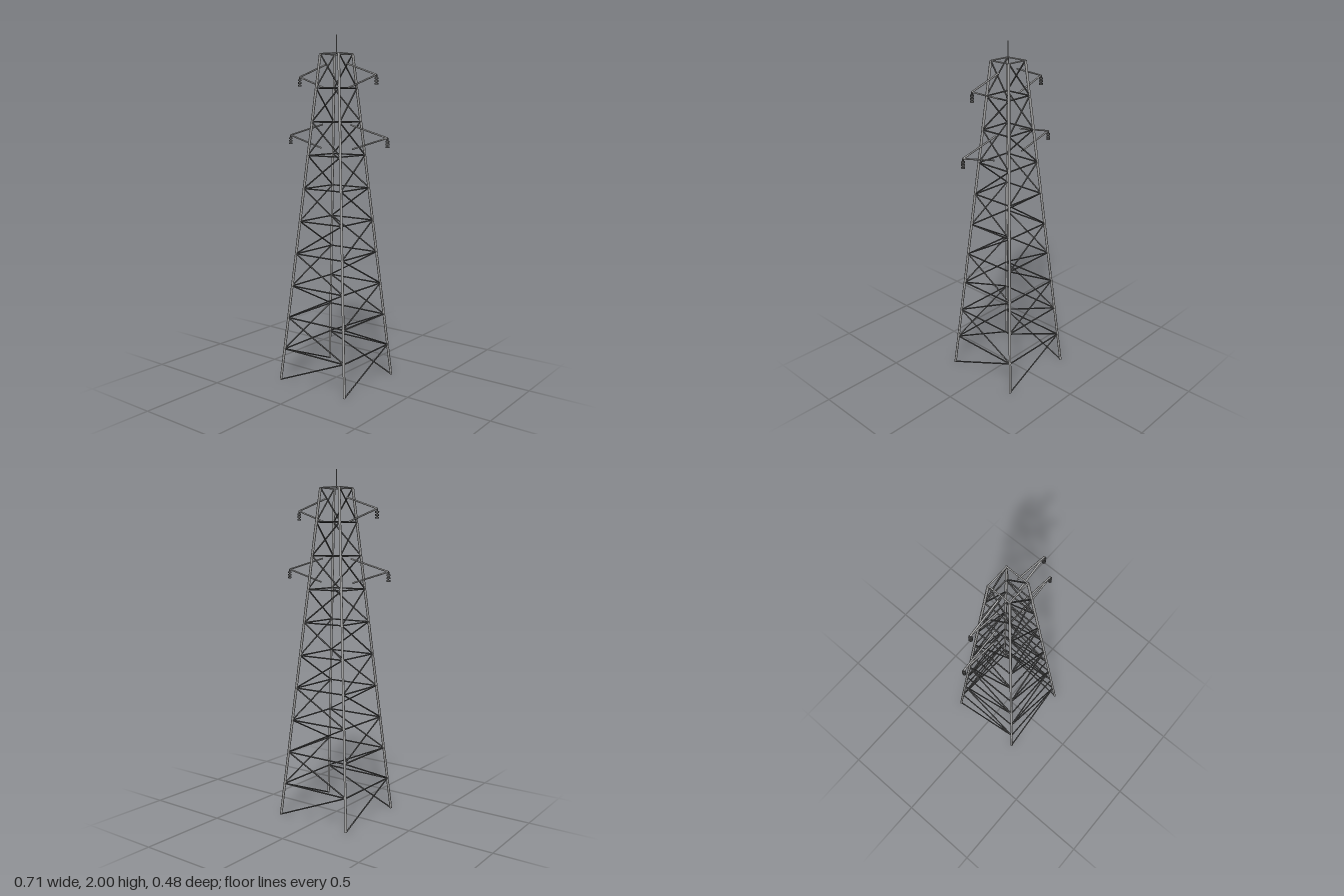
import * as THREE from 'three';

const H = 1.896, PANELS = 10;
const halfWidth = (y) => 0.235 - (0.17 * y) / H;

export function createModel() {
  const tower = new THREE.Group();
  tower.name = 'pylon';
  const steel = new THREE.MeshStandardMaterial({ color: 0xa0a0a0 });
  const darkSteel = new THREE.MeshStandardMaterial({ color: 0x5a5a5a });

  // Straight bar between two points
  function bar(parent, name, a, b, r, mat) {
    const dir = b.clone().sub(a);
    const mesh = new THREE.Mesh(new THREE.CylinderGeometry(r, r, dir.length(), 6), mat);
    mesh.position.copy(a).lerp(b, 0.5);
    mesh.quaternion.setFromUnitVectors(new THREE.Vector3(0, 1, 0), dir.normalize());
    mesh.name = name;
    parent.add(mesh);
  }

  // Four identical faces: a leg in sections, level bars and zigzag diagonals
  for (let f = 0; f < 4; f++) {
    const face = new THREE.Group();
    face.name = 'latticeFace' + (f + 1);
    face.rotation.y = (f * Math.PI) / 2;
    const corner = (side, y) => new THREE.Vector3(side * halfWidth(y), y, halfWidth(y));
    for (let i = 0; i < PANELS; i++) {
      const y0 = Math.max((H * i) / PANELS, 0.001), y1 = (H * (i + 1)) / PANELS;
      const s = i % 2 ? 1 : -1;
      const isTop = i === PANELS - 1;
      bar(face, 'legSection', corner(-1, y0), corner(-1, y1), 0.0075, steel);
      bar(face, 'diagonal', corner(s, y0 + 0.002), corner(-s, y1), 0.0042, darkSteel);
      bar(face, isTop ? 'topBar' : 'levelBar', corner(-1, y1), corner(1, y1), 0.0042, isTop ? steel : darkSteel);
    }
    tower.add(face);
  }

  // Cross arms with hanging insulators
  for (const [tipX, tipY, name] of [[0.272, 1.774, 'upperArm'], [0.347, 1.434, 'lowerArm']]) {
    for (const s of [-1, 1]) {
      const arm = new THREE.Group();
      arm.name = name + (s > 0 ? 'Left' : 'Right');
      const tip = new THREE.Vector3(s * tipX, tipY, 0);
      for (const dy of [0.067, -0.068]) {
        const y = tipY + dy;
        bar(arm, 'armBar', new THREE.Vector3(s * halfWidth(y), y, 0), tip, 0.005, steel);
      }
      bar(arm, 'insulatorCore', tip, new THREE.Vector3(tip.x, tipY - 0.052, 0), 0.005, darkSteel);
      for (let k = 0; k < 3; k++) {
        const disc = new THREE.Mesh(new THREE.CylinderGeometry(0.011, 0.011, 0.009, 6), darkSteel);
        disc.position.set(tip.x, tipY - 0.019 - k * 0.015, 0);
        disc.name = 'insulatorDisc';
        arm.add(disc);
      }
      tower.add(arm);
    }
  }

  // Thin rod at the peak
  bar(tower, 'lightningRod', new THREE.Vector3(0, H, 0), new THREE.Vector3(0, 2, 0), 0.003, steel);
  return tower;
}
